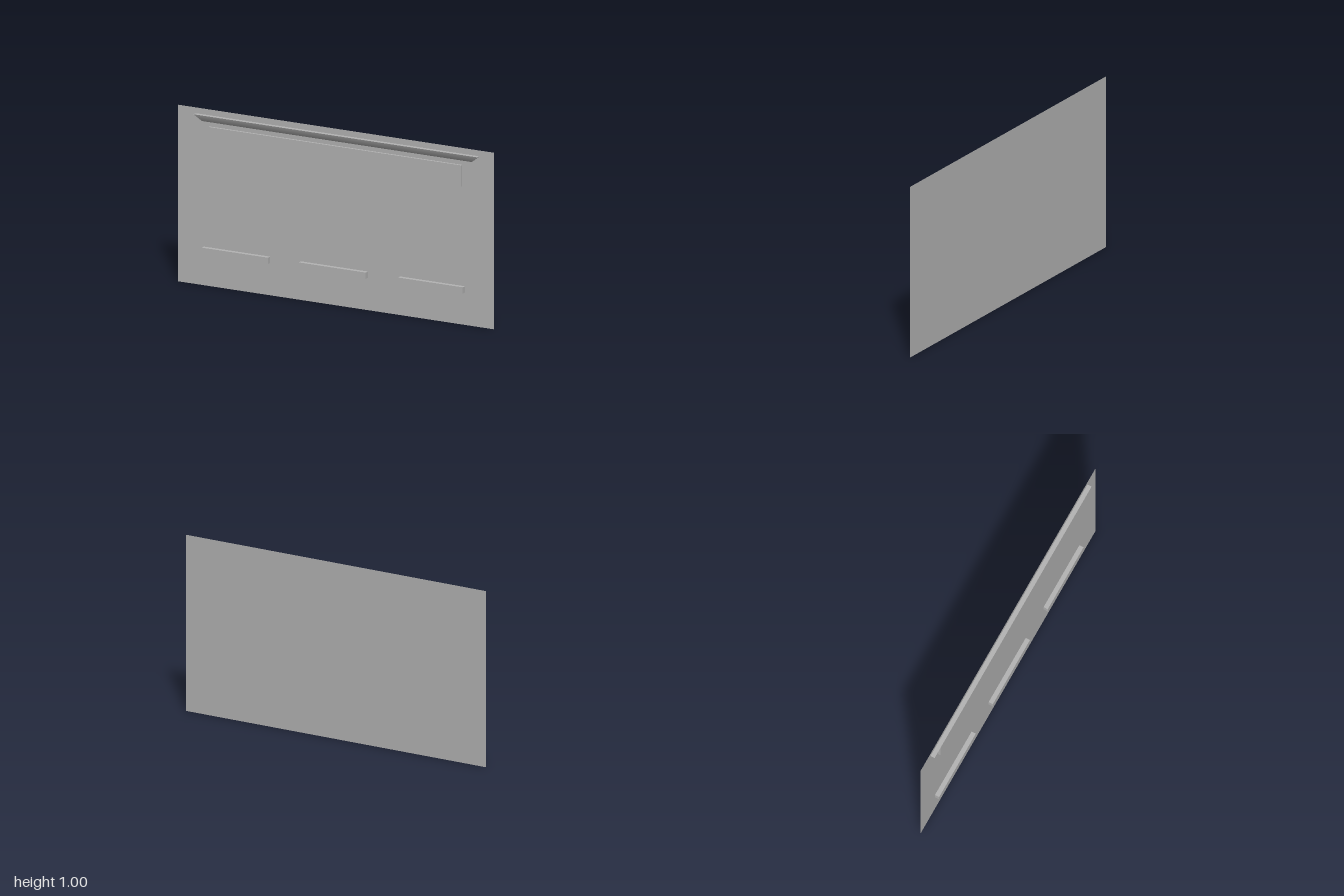
import * as THREE from 'three';

export function createModel() {
  const group = new THREE.Group();
  const grey = new THREE.MeshStandardMaterial({ color: 0xb4b4b4 });
  grey.name = 'light grey';
  const greySheet = grey;
  greySheet.side = THREE.DoubleSide;

  const back = -0.013; // plane of the backing sheet
  const front = 0.013; // foremost depth of ledge and bars

  const add = (name, geometry) => {
    const mesh = new THREE.Mesh(geometry, grey);
    mesh.name = name;
    group.add(mesh);
    return mesh;
  };

  // Block standing on the sheet, given by its limits
  const block = (name, x0, x1, y0, y1, z1) =>
    add(name, new THREE.BoxGeometry(x1 - x0, y1 - y0, z1 - back))
      .position.set((x0 + x1) / 2, (y0 + y1) / 2, (z1 + back) / 2 + 0.0002);

  // Thin backing sheet
  add('backingSheet', new THREE.PlaneGeometry(2, 1)).position.set(0, 0.5, back);

  // Wide raised panel
  block('raisedPanel', -0.8, 0.8, 0.784, 0.904, 0);

  // Three low bars
  [[-0.837, -0.417], [-0.222, 0.203], [0.407, 0.817]].forEach(([x0, x1], i) =>
    block('bar' + (i + 1), x0, x1, 0.183, 0.219, front));

  // Ledge tapering downwards at its front and both ends
  const ring = (x0, x1, y, z) => [x0, y, back + 0.0002, x1, y, back + 0.0002, x1, y, z, x0, y, z];
  const top = ring(-0.888, 0.91, 0.967, front);
  const bottom = ring(-0.842, 0.866, 0.932, 0);

  const ledgeSides = new THREE.BufferGeometry();
  ledgeSides.setAttribute('position', new THREE.Float32BufferAttribute([...top, ...bottom], 3));
  const sides = [4, 5, 6, 4, 6, 7]; // underside, blended with the slopes
  for (let i = 1; i < 4; i++) {
    const j = (i + 1) % 4;
    sides.push(i, j, i + 4, j, j + 4, i + 4);
  }
  ledgeSides.setIndex(sides);
  ledgeSides.computeVertexNormals();
  add('ledgeUnderside', ledgeSides);

  const ledgeTop = new THREE.BufferGeometry();
  ledgeTop.setAttribute('position', new THREE.Float32BufferAttribute(top, 3));
  ledgeTop.setIndex([0, 2, 1, 0, 3, 2]);
  ledgeTop.computeVertexNormals();
  add('ledgeTop', ledgeTop);

  return group;
}
